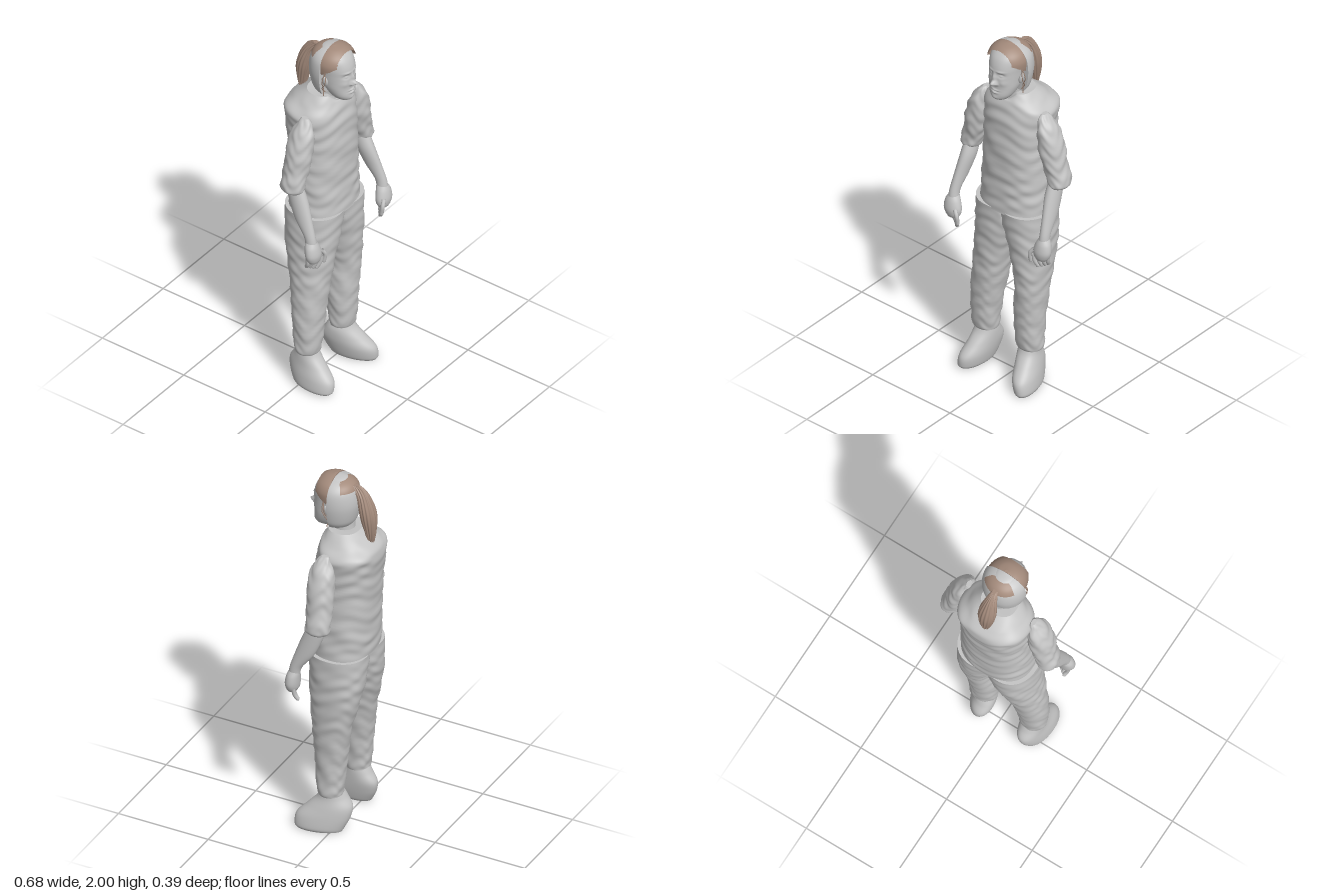
import * as THREE from 'three';

const grey = new THREE.MeshStandardMaterial({ color: 0xc4c4c4, side: THREE.DoubleSide });
grey.name = 'light grey';
const brown = new THREE.MeshStandardMaterial({ color: 0xa38a7b, side: THREE.DoubleSide });
brown.name = 'hair brown';

// smooth interpolation through a list of sections
function sample(rows, t) {
  const n = rows.length - 1, i = Math.min(Math.floor(t), n - 1), f = t - i;
  const at = k => rows[Math.max(0, Math.min(n, k))];
  return rows[0].map((_, c) => {
    const a = at(i - 1)[c], b = at(i)[c], d = at(i + 1)[c], e = at(i + 2)[c];
    return b + 0.5 * f * (d - a + f * (2 * a - 5 * b + 4 * d - e + f * (3 * (b - d) + e - a)));
  });
}

// skin over horizontal sections [y, xMin, xMax, zBack, zFront], listed bottom to top
function loft(rows, { seg = 48, steps = 8, power = 2, shape = null } = {}) {
  const pos = [], idx = [], n = (rows.length - 1) * steps;
  const bend = v => Math.sign(v) * Math.abs(v) ** (2 / power);
  for (let i = 0; i <= n; i++) {
    const [y, x0, x1, z0, z1] = sample(rows, i / steps);
    for (let j = 0; j < seg; j++) {
      const a = j / seg * Math.PI * 2;
      const p = new THREE.Vector3((x0 + x1) / 2 + (x1 - x0) / 2 * bend(Math.cos(a)), y,
        (z0 + z1) / 2 + (z1 - z0) / 2 * bend(Math.sin(a)));
      if (shape) shape(p, a, i / n);
      pos.push(p.x, p.y, p.z);
      if (i < n) {
        const q = i * seg + j, r = i * seg + (j + 1) % seg;
        idx.push(q, q + seg, r + seg, q, r + seg, r);
      }
    }
  }
  // end caps with their own corners
  for (const [ring, top] of [[0, false], [n, true]]) {
    const base = pos.length / 3, c = [0, 0, 0];
    for (let k = 0; k < seg * 3; k++) {
      const v = pos[ring * seg * 3 + k];
      pos.push(v);
      c[k % 3] += v / seg;
    }
    pos.push(...c);
    for (let j = 0; j < seg; j++) {
      const k = base + (j + 1) % seg;
      idx.push(base + seg, top ? k : base + j, top ? base + j : k);
    }
  }
  const g = new THREE.BufferGeometry();
  g.setAttribute('position', new THREE.Float32BufferAttribute(pos, 3));
  g.setIndex(idx);
  g.computeVertexNormals();
  return g;
}

// part of a geometry whose triangle centres pass a test
function keep(g, test) {
  const out = g.clone(), p = g.attributes.position, id = g.index.array, idx = [];
  for (let i = 0; i < id.length; i += 3) {
    const c = new THREE.Vector3();
    for (let k = 0; k < 3; k++) c.add(new THREE.Vector3().fromBufferAttribute(p, id[i + k]));
    if (test(c.divideScalar(3))) idx.push(id[i], id[i + 1], id[i + 2]);
  }
  out.setIndex(idx);
  return out;
}

const mirror = (rows, shift) => rows.map(([y, a, b, c, d]) => [y, shift - b, shift - a, c, d]);
const folds = amp => (p, a, t) => {
  const k = amp * Math.min(1, 8 * t, 8 * (1 - t)) *
    (Math.sin(p.y * 55 + 2.5 * Math.sin(2 * a + p.y * 9)) + 0.6 * Math.sin(p.y * 95 + 3 * Math.sin(3 * a)));
  p.x += Math.cos(a) * k;
  p.z += Math.sin(a) * k;
};

// face relief: x, y, width, height, depth; off-centre ones are mirrored
const relief = [
  [0, 1.815, .013, .013, .03], [0, 1.845, .009, .024, .013], [.014, 1.808, .007, .007, .008],
  [.033, 1.86, .017, .011, -.011], [.033, 1.858, .010, .006, .007], [.03, 1.882, .022, .006, .004],
  [0, 1.771, .020, .005, .006], [0, 1.756, .017, .005, .007], [0, 1.764, .022, .0025, -.004],
  [0, 1.725, .020, .012, .005], [.045, 1.815, .018, .016, .004]];
function sculptFace(p) {
  if (p.z < 0.08) return;
  const x = Math.abs(p.x);
  let d = 0;
  for (const [cx, cy, w, h, k] of relief) d += k * Math.exp(-(((x - cx) / w) ** 2) - ((p.y - cy) / h) ** 2);
  p.z += d;
}

export function createModel() {
  const model = new THREE.Group();
  const add = (name, geo, mat = grey, parent = model) => {
    const m = new THREE.Mesh(geo, mat);
    m.name = name;
    parent.add(m);
    return m;
  };

  // head and neck
  add('head', loft([
    [1.705, -.03, .03, .08, .145], [1.715, -.045, .045, .05, .158], [1.74, -.062, .062, .03, .164],
    [1.78, -.075, .075, 0, .161], [1.82, -.08, .08, -.03, .162], [1.86, -.083, .083, -.05, .163],
    [1.9, -.086, .086, -.06, .16], [1.94, -.083, .083, -.05, .145], [1.97, -.066, .066, -.03, .12],
    [1.988, -.04, .04, 0, .095], [1.995, -.01, .01, .04, .06]], { seg: 112, steps: 14, power: 2.2, shape: sculptFace }));
  add('neck', loft([[1.6, -.075, .075, -.09, .07], [1.67, -.058, .058, -.06, .065],
    [1.72, -.054, .054, -.05, .07], [1.8, -.055, .055, -.05, .09]]));
  for (const s of [-1, 1]) {
    const ear = add('ear', new THREE.SphereGeometry(1, 16, 12));
    ear.scale.set(.011, .032, .018);
    ear.position.set(s * .088, 1.825, .06);
    ear.rotation.z = -s * .2;
    for (const k of [0, 1]) {
      const path = new THREE.CatmullRomCurve3([[.1, 1.89, .07], [.112 - k * .006, 1.83, .06 + k * .015],
        [.088 + k * .01, 1.78, .05], [.092 - k * .012, 1.735 + k * .02, .055]].map(([x, y, z]) => new THREE.Vector3(s * x, y, z)));
      add('looseStrand', new THREE.TubeGeometry(path, 16, .0025, 5), brown);
    }
  }

  // back of the head, cut flat towards the face, with hair on its crown
  const shell = loft([[1.735, -.085, .085, -.04, .13], [1.77, -.105, .105, -.06, .15],
    [1.85, -.118, .118, -.076, .166], [1.92, -.112, .112, -.07, .16], [1.96, -.09, .09, -.052, .142],
    [1.983, -.052, .052, -.015, .105], [1.99, -.01, .01, .035, .055]],
  { seg: 96, steps: 10, shape: p => { p.z = Math.min(p.z, .045); } });
  const crown = p => p.y > 1.938 && p.z < .004 + .25 * Math.abs(p.x) * Math.cos(p.x * 30);
  add('backOfHead', keep(shell, p => !crown(p)));
  add('crownHair', keep(shell, crown), brown);

  // hair over the front of the head
  const fringe = loft([[1.85, -.098, .098, -.07, .168], [1.89, -.105, .105, -.07, .168],
    [1.93, -.104, .104, -.06, .162], [1.965, -.086, .086, -.04, .142], [1.99, -.05, .05, 0, .105],
    [2, -.01, .01, .04, .06]], { seg: 112, steps: 12, shape: p => { p.z = Math.max(p.z, .045); } });
  add('frontHair', keep(fringe, p => p.z < .125 && p.y > 1.865 + (p.z - .045) * .7), brown);

  // ponytail with strand grooves
  add('ponytail', loft([[1.625, -.006, .004, -.146, -.136], [1.66, -.018, .016, -.157, -.128],
    [1.72, -.032, .032, -.167, -.112], [1.79, -.044, .044, -.17, -.092], [1.85, -.043, .043, -.158, -.08],
    [1.91, -.03, .03, -.132, -.065], [1.945, -.018, .018, -.105, -.04], [1.963, -.011, .011, -.075, -.03]],
  { seg: 72, shape: (p, a) => {
    const k = .0025 * Math.sin(a * 14 + p.y * 8);
    p.x += k * Math.cos(a);
    p.z += k * Math.sin(a);
  } }), brown);

  // shirt body with an open neckline dipping at the front
  const cloth = folds(.0026);
  add('shirt', loft([[1.02, -.19, .195, -.16, .14], [1.1, -.186, .192, -.165, .136],
    [1.2, -.183, .19, -.168, .132], [1.4, -.175, .185, -.177, .13], [1.55, -.18, .19, -.19, .122],
    [1.615, -.182, .192, -.196, .113], [1.66, -.145, .152, -.155, .1], [1.715, -.092, .097, -.085, .075]],
  { seg: 80, steps: 12, power: 2.4, shape: (p, a, t) => {
    cloth(p, a, t);
    if (p.z > 0 && t > .9) p.y -= .055 * (t - .9) * 10 * Math.max(0, 1 - Math.abs(p.x) / .06);
  } }));

  // arms: sleeve, forearm, hand
  const sleeve = [[1.245, -.322, -.232, -.052, .058], [1.262, -.334, -.222, -.06, .066],
    [1.3, -.328, -.21, -.062, .068], [1.36, -.312, -.188, -.06, .072], [1.45, -.298, -.165, -.06, .08],
    [1.55, -.265, -.16, -.05, .075], [1.61, -.22, -.164, -.025, .055], [1.635, -.195, -.172, -.01, .03]];
  const forearm = [[.97, -.32, -.265, .1, .16], [1.02, -.318, -.267, .085, .15], [1.1, -.315, -.255, .025, .125],
    [1.2, -.31, -.238, -.018, .09], [1.28, -.305, -.24, -.035, .055]];
  const palm = [[.87, -.318, -.255, .12, .165], [.89, -.332, -.243, .108, .173], [.92, -.34, -.24, .103, .176],
    [.96, -.334, -.252, .1, .168], [.99, -.318, -.268, .098, .155]];
  for (const s of [-1, 1]) {
    const arm = new THREE.Group();
    arm.name = s < 0 ? 'rightArm' : 'leftArm';
    model.add(arm);
    const side = (rows, shift) => s < 0 ? rows : mirror(rows, shift);
    add('sleeve', loft(side(sleeve, .01), { shape: folds(.0025) }), grey, arm);
    add('forearm', loft(side(forearm, 0), { seg: 32 }), grey, arm);
    add('palm', loft(side(palm, 0), { seg: 32 }), grey, arm);
    for (let i = 0; i < 5; i++) {
      const thumb = i === 4;
      const ends = thumb ? [[.255, .93, .165], [.238, .9, .172], [.237, .855, .165]]
        : [[.25 + i * .022, .895, .16 - i * .012], [.252 + i * .019, .855, .155 - i * .012], [.262 + i * .013, .82 + i * .004, .14 - i * .011]];
      const path = new THREE.CatmullRomCurve3(ends.map(([x, y, z]) => new THREE.Vector3(s * x, y, z)));
      add(thumb ? 'thumb' : 'finger', new THREE.TubeGeometry(path, 10, .0105, 10), grey, arm);
      add('fingertip', new THREE.SphereGeometry(.0105, 10, 8), grey, arm).position.copy(path.getPoint(1));
    }
  }

  // trouser legs meet along the middle
  const rightLeg = [[.205, -.24, -.11, -.04, .08], [.24, -.246, -.106, -.045, .09], [.4, -.25, -.085, -.06, .1],
    [.6, -.235, -.05, -.09, .112], [.7, -.226, -.03, -.115, .12], [.82, -.218, .002, -.142, .13],
    [.92, -.214, .035, -.155, .137], [1.03, -.21, .06, -.16, .142]];
  const leftLeg = [[.205, .042, .178, -.04, .08], [.24, .038, .182, -.045, .09], [.4, .03, .187, -.06, .1],
    [.6, .04, .2, -.09, .112], [.7, .022, .207, -.115, .12], [.82, -.002, .213, -.142, .13],
    [.92, -.035, .214, -.155, .137], [1.03, -.06, .214, -.16, .142]];
  const rightShoe = [[.008, -.243, -.14, -.045, .18], [.025, -.25, -.13, -.055, .19], [.075, -.245, -.12, -.078, .184],
    [.13, -.235, -.115, -.084, .135], [.18, -.23, -.115, -.055, .09], [.22, -.225, -.12, -.035, .07]];
  const leftShoe = [[0, .085, .185, -.045, .18], [.02, .07, .193, -.055, .19], [.075, .055, .188, -.078, .184],
    [.13, .045, .177, -.084, .135], [.18, .043, .165, -.055, .09], [.22, .053, .162, -.035, .07]];
  const toeOut = k => p => { p.x += k * (p.z - .02); };
  for (const [name, s, leg, shoe] of [['right', -1, rightLeg, rightShoe], ['left', 1, leftLeg, leftShoe]]) {
    const crease = folds(.0022);
    add(name + 'TrouserLeg', loft(leg, { seg: 64, steps: 10, power: 2.2, shape: (p, a, t) => {
      crease(p, a, t);
      p.x = s * Math.max(.002, s * p.x);
    } }));
    add(name + 'Shoe', loft(shoe, { power: 2.1, shape: toeOut(s > 0 ? .22 : -.06) }));
  }
  return model;
}
